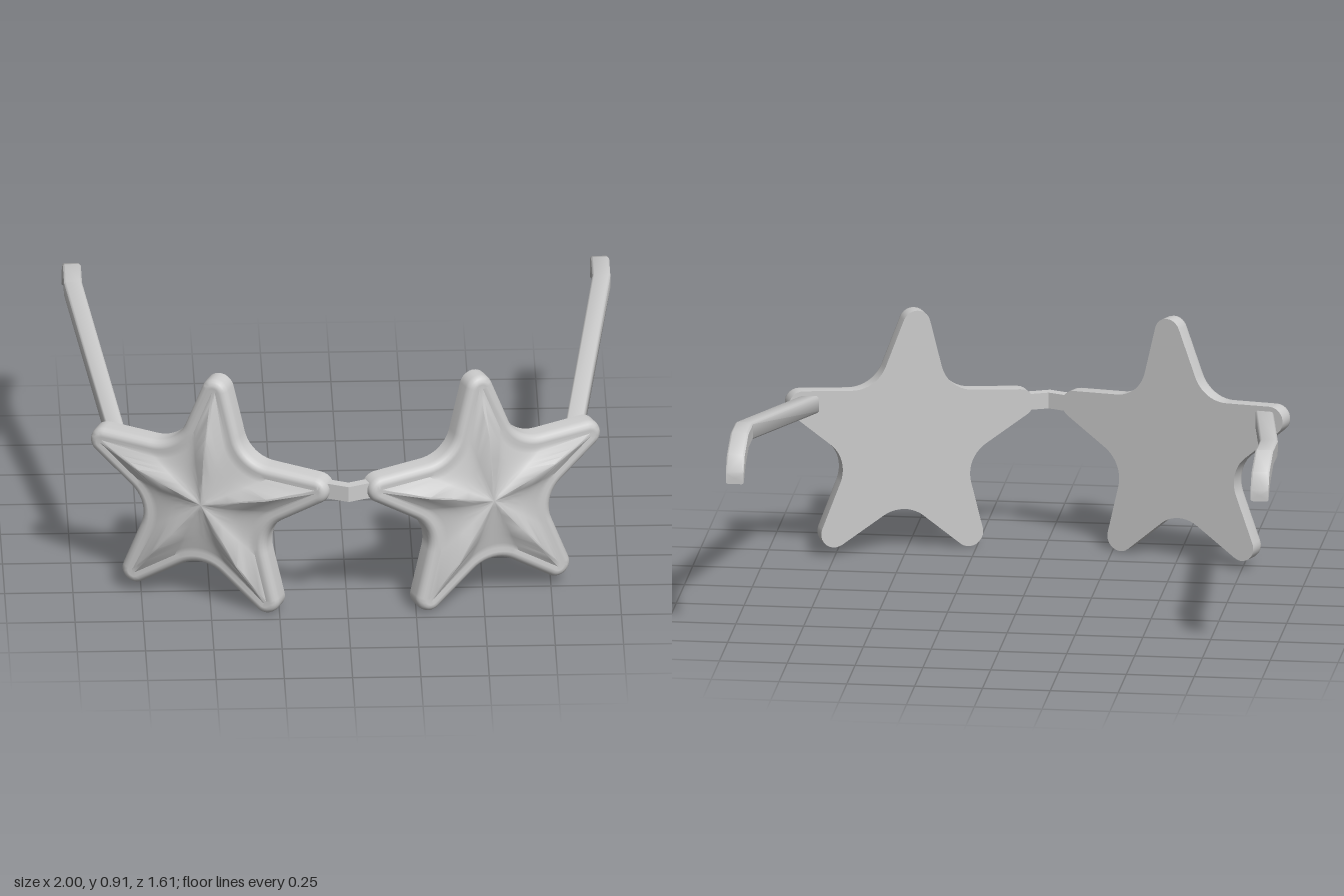
import * as THREE from 'three';
import { toCreasedNormals } from 'three/addons/utils/BufferGeometryUtils.js';

const DEG = Math.PI / 180;

// Skin a series of equal-length point rings, closed by a fan at each end.
function loft(rings, start, end, crease) {
  const n = rings[0].length;
  const pts = [start, ...rings.flat(), end];
  const last = pts.length - 1;
  const index = [];
  for (let j = 0; j < n; j++) {
    const k = (j + 1) % n;
    index.push(0, 1 + k, 1 + j);
    for (let i = 0; i < rings.length - 1; i++) {
      const a = 1 + i * n, b = a + n;
      index.push(a + j, a + k, b + k, a + j, b + k, b + j);
    }
    const e = last - n;
    index.push(e + j, e + k, last);
  }
  const geo = new THREE.BufferGeometry();
  geo.setAttribute('position', new THREE.Float32BufferAttribute(pts.flat(), 3));
  geo.setIndex(index);
  return toCreasedNormals(geo, crease);
}

// Mirror a non-indexed geometry across x = 0, keeping its faces outward.
function mirrorX(source) {
  const geo = source.clone();
  for (const name of ['position', 'normal']) {
    const a = geo.attributes[name];
    for (let i = 0; i < a.count; i += 3) {
      const v = [0, 2, 1].map((k) => [-a.getX(i + k), a.getY(i + k), a.getZ(i + k)]);
      v.forEach((p, k) => a.setXYZ(i + k, ...p));
    }
  }
  return geo;
}

// Five-pointed outline with rounded tips and valleys, as points with normals.
function starOutline() {
  const R = 0.607, tipR = 0.0525, valleyR = 0.13, steps = 10;
  const tipDist = R - tipR / Math.sin(18 * DEG);
  const valleyDist = R * 0.382 + valleyR / Math.sin(54 * DEG);
  const out = [];
  const arc = (dir, dist, radius, from, to) => {
    for (let i = 0; i <= steps; i++) {
      const t = (from + ((to - from) * i) / steps) * DEG;
      const nx = Math.cos(t), ny = Math.sin(t);
      out.push({
        x: dist * Math.cos(dir * DEG) + radius * nx,
        y: dist * Math.sin(dir * DEG) + radius * ny, nx, ny,
      });
    }
  };
  for (let k = 0; k < 5; k++) {
    const a = 94 + 72 * k;
    arc(a, tipDist, tipR, a - 72, a + 72);
    arc(a + 36, valleyDist, -valleyR, a + 72, a);
  }
  return out;
}

function lensGeometry() {
  const outline = starOutline();
  const inset = (d, z) => outline.map((p) => [p.x - d * p.nx, p.y - d * p.ny, z]);
  const rings = [inset(0, 0), inset(0, 0.048)];
  // rounded rim, then a shallow groove
  for (let i = 1; i <= 4; i++) {
    const t = i * 22.5 * DEG;
    rings.push(inset(0.03 * (1 - Math.cos(t)), 0.048 + 0.03 * Math.sin(t)));
  }
  const base = 0.074, rise = 0.048;
  const edge = inset(0.045, base);
  rings.push(edge);
  // raised star: ridges run to the tips, valleys fall away between them
  const radii = edge.map((p) => Math.hypot(p[0], p[1]));
  const rMin = Math.min(...radii), rMax = Math.max(...radii);
  for (const s of [0.9, 0.8, 0.7, 0.6, 0.4, 0.25, 0.12]) {
    rings.push(edge.map(([x, y], i) => {
      const w = (radii[i] - rMin) / (rMax - rMin);
      const ridge = Math.min(1, (1 - s) / 0.4);
      return [x * s, y * s, base + rise * ((1 - s) * (1 - w) + ridge * w)];
    }));
  }
  return loft(rings, [0, 0, 0], [0, 0, base + rise], 0.7)
    .translate(0.235, 0.425, 0.695).rotateY(0.405);
}

// Side arm that runs back, then hooks down behind the ear.
function templeGeometry() {
  const half = 0.033, c = 0.8;
  // square section with slightly softened corners
  const section = [[1, c], [1, -c], [c, -1], [-c, -1], [-1, -c], [-1, c], [-c, 1], [c, 1]];
  // x, y, z, tilt of the section, half height
  const path = [
    [0.835, 0.583, 0.43, 10, 0.032],
    [0.967, 0.743, -0.52, 6, 0.032],
    [0.967, 0.745, -0.655, -12, 0.032],
    [0.967, 0.7, -0.758, -38, 0.032],
    [0.967, 0.643, -0.806, 0, 0.022],
  ];
  const rings = path.map(([x, y, z, tilt, h]) => section.map(([sx, sy]) => [
    x + half * sx,
    y + h * sy * Math.cos(tilt * DEG),
    z + h * sy * Math.sin(tilt * DEG),
  ]));
  return loft(rings, path[0].slice(0, 3), path[4].slice(0, 3), 0.8);
}

// Small bent bar joining the two lenses.
function bridgeGeometry() {
  const shape = new THREE.Shape([
    [-0.09, -0.725], [0, -0.763], [0.09, -0.725],
    [0.09, -0.765], [0, -0.803], [-0.09, -0.765],
  ].map(([x, y]) => new THREE.Vector2(x, y)));
  return new THREE.ExtrudeGeometry(shape, { depth: 0.06, bevelEnabled: false })
    .rotateX(-Math.PI / 2).translate(0, 0.5, 0);
}

export function createModel() {
  const group = new THREE.Group();
  group.name = 'starGlasses';
  const material = new THREE.MeshStandardMaterial({ color: 0xcccccc });
  const add = (name, geo) => {
    const mesh = new THREE.Mesh(geo, material);
    mesh.name = name;
    group.add(mesh);
  };
  const lens = lensGeometry(), temple = templeGeometry();
  add('leftLens', lens);
  add('rightLens', mirrorX(lens));
  add('leftTemple', temple);
  add('rightTemple', mirrorX(temple));
  add('bridge', bridgeGeometry());
  return group;
}
